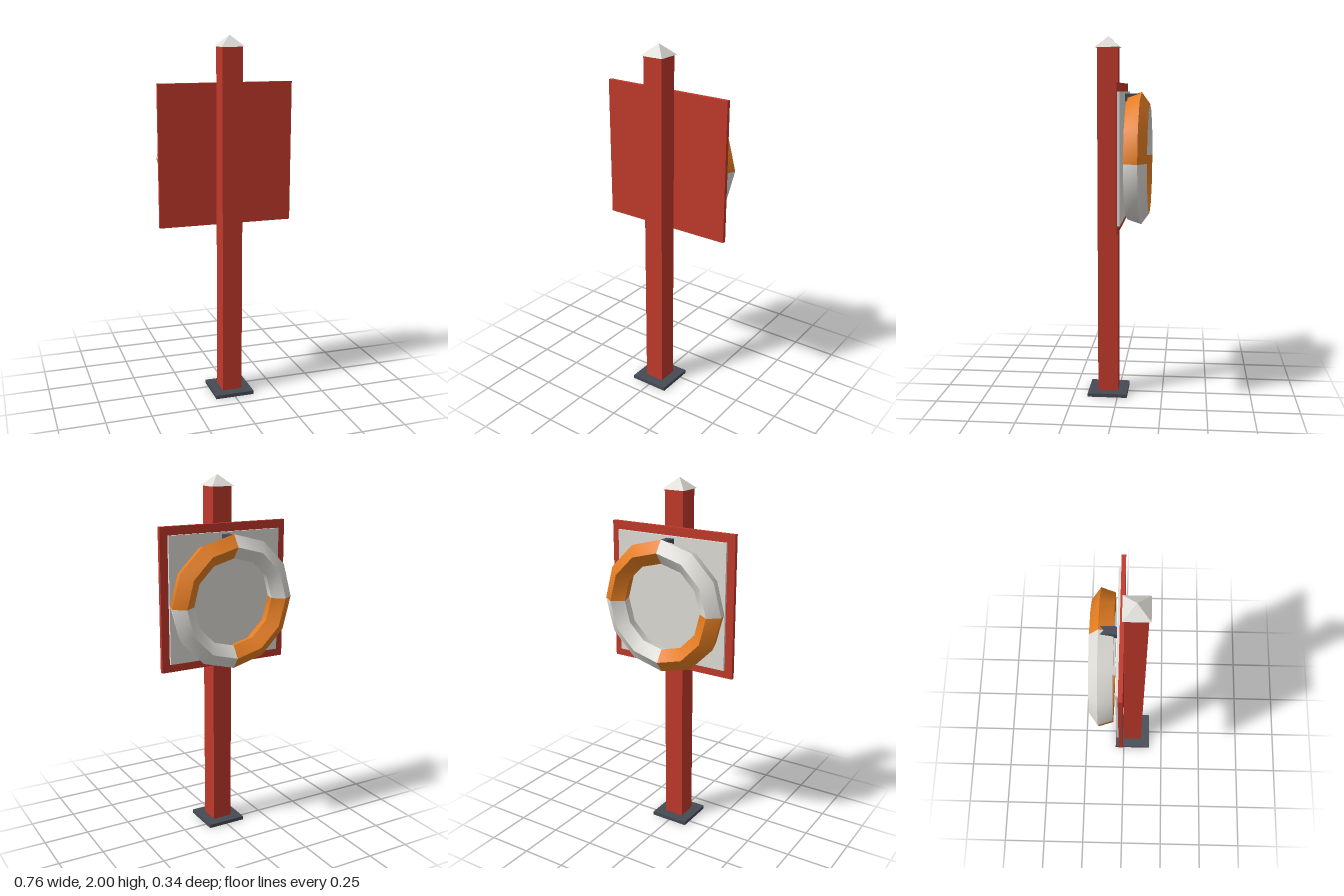
import * as THREE from 'three';
import { toCreasedNormals } from 'three/addons/utils/BufferGeometryUtils.js';

const material = (name, color) => {
  const m = new THREE.MeshStandardMaterial({ color });
  m.name = name;
  return m;
};

export function createModel() {
  const red = material('red paint', 0xc0392b);
  const white = material('off white', 0xdfddd7);
  const orange = material('orange', 0xe67e22);
  const dark = material('dark metal', 0x454a54);

  const group = new THREE.Group();
  group.name = 'lifebuoyStation';

  const add = (name, geometry, mat) => {
    const mesh = new THREE.Mesh(geometry, mat);
    mesh.name = name;
    group.add(mesh);
    return mesh;
  };
  // Box given by its limits on each axis, symmetric in x
  const box = (name, halfX, y0, y1, z0, z1, mat) => {
    const mesh = add(name, new THREE.BoxGeometry(halfX * 2, y1 - y0, z1 - z0), mat);
    mesh.position.set(0, (y0 + y1) / 2, (z0 + z1) / 2);
  };

  // Post on its foot plate
  box('footPlate', 0.111, 0, 0.02, -0.054, 0.168, dark);
  box('post', 0.056, 0.02, 1.94, 0.001, 0.113, red);

  // Pyramid cap
  const capGeometry = new THREE.ConeGeometry(0.066 * Math.SQRT2, 0.06, 4);
  capGeometry.rotateY(Math.PI / 4);
  const cap = add('postCap', toCreasedNormals(capGeometry, 0.1), white);
  cap.position.set(0, 1.97, 0.057);

  // Board with lighter panel and hook on the back
  box('board', 0.378, 0.973, 1.751, -0.021, 0.001, red);
  box('panel', 0.334, 1.018, 1.706, -0.034, -0.02, white);
  box('hook', 0.022, 1.653, 1.695, -0.12, -0.03, dark);

  // Ring: pentagon section swept in 12 steps, smooth around, sharp across
  const profile = [];
  for (let i = 0; i <= 5; i++) {
    const a = Math.PI / 2 + (i % 5) * Math.PI * 2 / 5;
    profile.push(new THREE.Vector2(0.3 + 0.0665 * Math.cos(a), 0.104 + 0.0665 * Math.sin(a)));
  }
  const lathe = new THREE.LatheGeometry(profile, 12);
  lathe.rotateX(-Math.PI / 2);
  const ringGeometry = toCreasedNormals(lathe, 0.6);

  // Alternate colours by quarter
  const quarter = ringGeometry.attributes.position.count / 4;
  for (let i = 0; i < 4; i++) ringGeometry.addGroup(i * quarter, quarter, i % 2);
  const ring = add('lifebuoyRing', ringGeometry, [orange, white]);
  ring.position.y = 1.34;

  return group;
}
